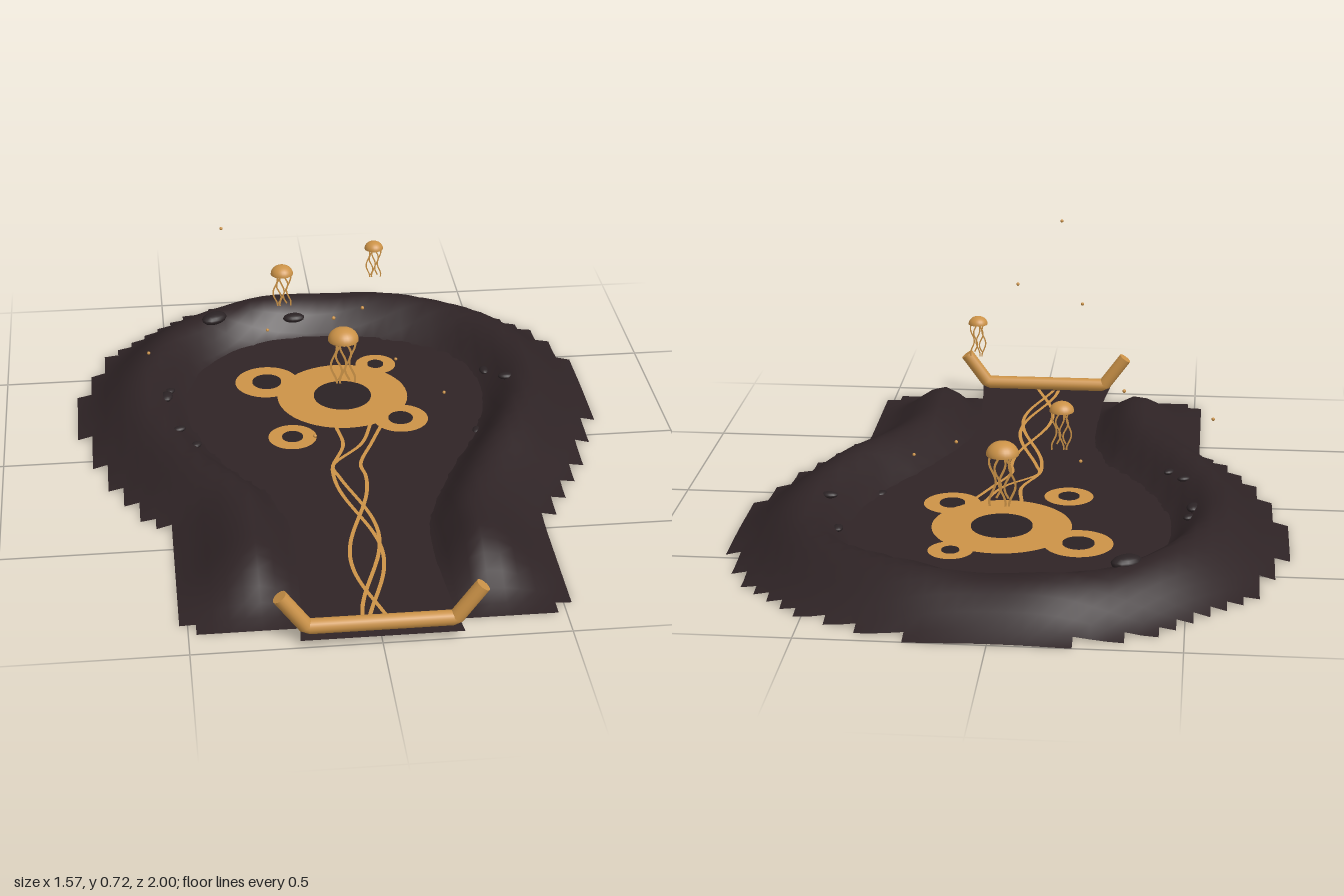
import * as THREE from 'three';

const mat = (name, color, side = THREE.FrontSide) => {
  const m = new THREE.MeshStandardMaterial({ color, side });
  m.name = name;
  return m;
};
const earth = mat('dark earth', 0x2e2325, THREE.DoubleSide);
const bed = mat('basin floor', 0x2f2426, THREE.DoubleSide);
const stone = mat('dark stone', 0x2a2224);
const gold = mat('gold', 0xcb9247, THREE.DoubleSide);

const FLOOR = 0.022;
const CELL = 2 / 46;

// Pear-shaped edge of the basin and its channel, as [x, z]
const edge = new THREE.CatmullRomCurve3([
  [0.215, 1], [0.2, 0.85], [0.19, 0.65], [0.205, 0.45], [0.3, 0.2], [0.4, 0], [0.46, -0.2],
  [0.465, -0.36], [0.4, -0.52], [0.25, -0.63], [0, -0.69], [-0.22, -0.65], [-0.38, -0.51],
  [-0.45, -0.32], [-0.44, -0.12], [-0.36, 0.1], [-0.24, 0.3], [-0.2, 0.47], [-0.195, 0.65],
  [-0.2, 0.85], [-0.215, 1],
].map(([x, z]) => new THREE.Vector3(x, 0, z))).getSpacedPoints(240);

// Signed distance from the basin edge, negative inside
function edgeDistance(x, z) {
  let d = Infinity, inside = false;
  edge.forEach((p, i) => {
    const q = edge[(i + 1) % edge.length];
    d = Math.min(d, Math.hypot(p.x - x, p.z - z));
    if ((p.z > z) !== (q.z > z) && x < p.x + (q.x - p.x) * (z - p.z) / (q.z - p.z)) inside = !inside;
  });
  return inside ? -d : d;
}

function groundHeight(x, z) {
  const s = THREE.MathUtils.smoothstep;
  const d = edgeDistance(x, z);
  const rim = s(d, -0.03, 0.11) * (1 - s(d, 0.12, 0.335));
  const wave = 0.006 * Math.sin(9 * z + 3 * x) + 0.004 * Math.sin(17 * x - 5 * z);
  const low = 0.008 * (1 - s(d, 0.05, 0.3));
  return (low + rim * (0.109 + wave)) * (1 - s(z, 0.64, 0.92));
}

// Ground on a square grid with a stepped outer border
function groundGeometry() {
  const nx = 36, nz = 44, pos = [], index = [];
  for (let j = 0; j <= nz; j++) {
    for (let i = 0; i <= nx; i++) {
      const x = (i - nx / 2) * CELL, z = -1 + j * CELL;
      pos.push(x, groundHeight(x, z), z);
      if (i === nx || j === nz) continue;
      const limit = j === nz - 1 ? 0.29 : 0.315;
      if (edgeDistance(x + CELL / 2, z + CELL / 2) > limit) continue;
      const a = j * (nx + 1) + i, c = a + nx + 1;
      index.push(a, c, a + 1, a + 1, c, c + 1);
    }
  }
  const g = new THREE.BufferGeometry();
  g.setAttribute('position', new THREE.Float32BufferAttribute(pos, 3));
  g.setIndex(index);
  g.computeVertexNormals();
  return g;
}

// Flat strip along points, lying across the given normal
function ribbonGeometry(points, normal, width) {
  const pos = [], index = [];
  points.forEach((p, i) => {
    const t = points[Math.min(i + 1, points.length - 1)].clone().sub(points[Math.max(i - 1, 0)]);
    const side = normal.clone().cross(t).setLength(width / 2);
    pos.push(...p.clone().add(side).toArray(), ...p.clone().sub(side).toArray());
    if (i) index.push(2 * i - 2, 2 * i - 1, 2 * i, 2 * i, 2 * i - 1, 2 * i + 1);
  });
  const g = new THREE.BufferGeometry();
  g.setAttribute('position', new THREE.Float32BufferAttribute(pos, 3));
  g.setIndex(index);
  g.computeVertexNormals();
  return g;
}

function add(parent, name, geometry, material, x = 0, y = 0, z = 0) {
  const m = new THREE.Mesh(geometry, material);
  m.name = name;
  m.position.set(x, y, z);
  parent.add(m);
  return m;
}

// Floating bell with wavy flat tentacles
function jellyfish(x, y, z, r, length) {
  const g = new THREE.Group();
  g.name = 'jellyfish';
  g.position.set(x, y, z);
  const bell = new THREE.SphereGeometry(r, 24, 10, 0, Math.PI * 2, 0, Math.PI / 2);
  add(g, 'bell', bell, gold).scale.y = 0.82;
  add(g, 'bellUnderside', new THREE.CircleGeometry(r, 24).rotateX(Math.PI / 2), gold);
  for (let k = 0; k < 5; k++) {
    const pts = [];
    const len = length * (k % 2 ? 0.88 : 1);
    for (let i = 0; i <= 20; i++) {
      const t = i / 20;
      pts.push(new THREE.Vector3(
        (k - 2) * r * 0.3 + Math.sin(t * 8 + k * 1.7) * r * 0.2, -t * len, (k % 2 - 0.5) * r * 0.3));
    }
    add(g, 'tentacle', ribbonGeometry(pts, new THREE.Vector3(0, 0, 1), r * 0.14), gold);
  }
  return g;
}

export function createModel() {
  const model = new THREE.Group();
  model.name = 'jellyfishBasin';
  add(model, 'ground', groundGeometry(), earth);

  // Basin floor
  const outline = new THREE.Shape(edge.map(p => new THREE.Vector2(p.x, -p.z)));
  add(model, 'basinFloor', new THREE.ShapeGeometry(outline).rotateX(-Math.PI / 2), bed, 0, FLOOR, 0);

  // Golden rings with dark centres: x, z, outer, inner
  [
    [0.03, -0.27, 0.2, 0.088], [-0.195, -0.38, 0.098, 0.045], [0.155, -0.46, 0.063, 0.025],
    [0.19, -0.11, 0.083, 0.037], [-0.145, -0.03, 0.072, 0.031],
  ].forEach(([x, z, outer, inner], i) => {
    const y = FLOOR + 0.006 + i * 0.0005;
    add(model, 'ring', new THREE.RingGeometry(inner, outer, 48).rotateX(-Math.PI / 2), gold, x, y, z);
    add(model, 'ringCentre', new THREE.CircleGeometry(inner, 48).rotateX(-Math.PI / 2), stone, x, y + 0.003, z);
  });

  // Braided streams running down the channel
  [
    [[-0.01, -0.08], [0, 0.03], Math.PI],
    [[0.1, -0.1], [0.055, 0.03], Math.PI + 0.75],
    [[0.13, -0.08], [0.085, 0.03], -0.2],
  ].forEach(([a, b, phase], k) => {
    const ctrl = [a, b];
    for (let z = 0.15; z < 0.96; z += 0.06) {
      ctrl.push([0.046 * Math.cos(2 * Math.PI * (z - 0.2) / 0.85 + phase), z]);
    }
    const y = FLOOR + 0.007 + k * 0.001;
    const curve = new THREE.CatmullRomCurve3(ctrl.map(([x, z]) => new THREE.Vector3(x, y, z)));
    add(model, 'stream', ribbonGeometry(curve.getSpacedPoints(80), new THREE.Vector3(0, 1, 0), 0.011), gold);
  });

  // Gate rail across the channel mouth
  const rail = new THREE.CurvePath();
  const corners = [[-0.265, 0.138], [-0.195, 0.042], [0.195, 0.042], [0.265, 0.138]]
    .map(([x, y]) => new THREE.Vector3(x, y, 0.965));
  for (let i = 0; i < 3; i++) rail.add(new THREE.LineCurve3(corners[i], corners[i + 1]));
  add(model, 'gateRail', new THREE.TubeGeometry(rail, 60, 0.021, 16), gold);
  [[corners[0], corners[1]], [corners[3], corners[2]]].forEach(([end, next]) => {
    const cap = add(model, 'railCap', new THREE.CircleGeometry(0.021, 16), gold, end.x, end.y, end.z);
    cap.lookAt(end.clone().multiplyScalar(2).sub(next));
  });

  // Flat stones on the rim: x, z, radius, turn
  [
    [-0.34, -0.68, 0.045, 0.6], [-0.08, -0.73, 0.035, 0.1], [-0.51, -0.22, 0.028, 1.4],
    [0.53, -0.23, 0.024, 0], [-0.48, -0.01, 0.02, 0.4], [-0.435, 0.07, 0.02, 0.9],
    [0.41, -0.03, 0.02, 1.2], [0.485, -0.36, 0.022, 1.6], [-0.5, -0.27, 0.02, 0.8],
  ].forEach(([x, z, r, turn]) => {
    const s = add(model, 'stone', new THREE.SphereGeometry(r, 14, 10), stone, x, groundHeight(x, z) + 0.004, z);
    s.scale.set(1, 0.4, 0.65);
    s.rotation.y = turn;
  });

  model.add(
    jellyfish(0.03, 0.236, -0.245, 0.047, 0.155),
    jellyfish(-0.145, 0.411, -0.36, 0.034, 0.112),
    jellyfish(0.108, 0.587, -0.14, 0.027, 0.095));

  // Drifting sparks
  [
    [-0.56, 0.305, -0.09], [-0.32, 0.515, -0.48], [-0.08, 0.715, 0.54], [0.03, 0.593, 0.25],
    [-0.195, 0.247, -0.31], [0.175, 0.225, -0.125], [0.31, 0.15, -0.04], [-0.14, 0.42, 0.64],
  ].forEach(p => add(model, 'spark', new THREE.SphereGeometry(0.005, 8, 6), gold, ...p));

  return model;
}
